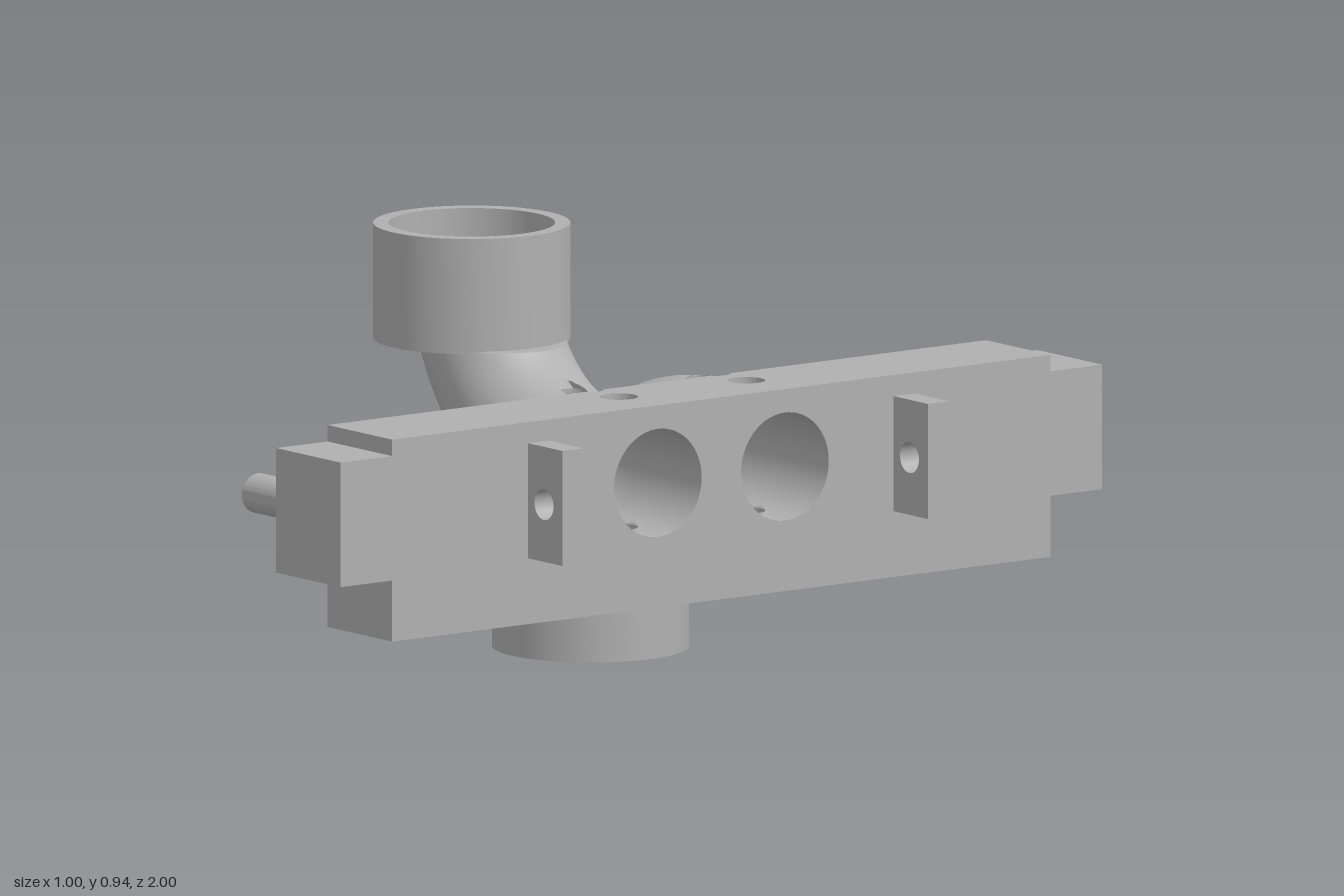
import * as THREE from 'three';
import { toCreasedNormals } from 'three/addons/utils/BufferGeometryUtils.js';

const grey = new THREE.MeshStandardMaterial({ color: 0xb0b0b0, side: THREE.DoubleSide });
grey.name = 'plain grey';

const AXIS_Y = 0.475, PIPE_Z = 0.167, BORE = 0.115, OUTER = 0.15, BEND = 0.39;
const X0 = 0.155, X1 = 0.38, Y0 = 0.21, Y1 = 0.64, Z1 = 0.865;
const NOTCH_X = 0.14, NOTCH_R = 0.03, NOTCH_HALF = 0.026;

function add(parent, name, geometry, x = 0, y = 0, z = 0) {
  const mesh = new THREE.Mesh(geometry, grey);
  mesh.name = name;
  mesh.position.set(x, y, z);
  parent.add(mesh);
  return mesh;
}

// Tubular surface from a rule f(u, v), closed in v, with vertical round holes [x, z, radius]
function tubeSurface(f, nu, nv, holes = [], flip = false) {
  const pos = [], index = [];
  for (let i = 0; i <= nu; i++) for (let j = 0; j < nv; j++) {
    const p = f(i / nu, (j / nv) * Math.PI * 2);
    for (const [hx, hz, r] of holes) {
      const dx = p[0] - hx, dz = p[2] - hz, d = Math.hypot(dx, dz);
      if (Math.abs(d - r) < 0.006) { p[0] = hx + dx * r / d; p[2] = hz + dz * r / d; }
    }
    pos.push(...p);
  }
  const tri = (a, b, c) => {
    const mid = k => (pos[a * 3 + k] + pos[b * 3 + k] + pos[c * 3 + k]) / 3;
    if (holes.some(([x, z, r]) => Math.hypot(mid(0) - x, mid(2) - z) < r)) return;
    if (flip) index.push(a, c, b); else index.push(a, b, c);
  };
  for (let i = 0; i < nu; i++) for (let j = 0; j < nv; j++) {
    const k = (j + 1) % nv, a = i * nv + j, b = i * nv + k;
    tri(a, a + nv, b);
    tri(b, a + nv, b + nv);
  }
  const g = new THREE.BufferGeometry();
  g.setAttribute('position', new THREE.Float32BufferAttribute(pos, 3));
  g.setIndex(index);
  g.computeVertexNormals();
  return g;
}

const openCylinder = (r, h, start = 0, length = Math.PI * 2) =>
  new THREE.CylinderGeometry(r, r, h, 32, 1, true, start, length);
const lathe = points => toCreasedNormals(
  new THREE.LatheGeometry(points.map(p => new THREE.Vector2(...p)), 64), 0.6);
const circle = (x, y, r) => new THREE.Path().absarc(x, y, r, 0, Math.PI * 2);
const polygon = points => new THREE.Shape(points.map(p => new THREE.Vector2(...p)));
const sideFace = shape => new THREE.ShapeGeometry(shape, 48).rotateY(-Math.PI / 2);

function createBlock() {
  const block = new THREE.Group();
  block.name = 'block';

  // Outer face with the two bores
  const front = polygon([[-Z1, Y0], [Z1, Y0], [Z1, Y1], [-Z1, Y1]]);
  front.holes.push(circle(PIPE_Z, AXIS_Y, BORE), circle(-PIPE_Z, AXIS_Y, BORE));
  add(block, 'outerFace', sideFace(front), X1);

  // Pipe-side face, in three pieces between the notches
  const a = Math.acos(NOTCH_HALF / BORE), inner = PIPE_Z - NOTCH_HALF, outer = PIPE_Z + NOTCH_HALF;
  const middle = new THREE.Shape();
  middle.moveTo(-inner, Y0);
  middle.lineTo(inner, Y0);
  middle.absarc(PIPE_Z, AXIS_Y, BORE, Math.PI + a, Math.PI - a, true);
  middle.lineTo(inner, Y1);
  middle.lineTo(-inner, Y1);
  middle.absarc(-PIPE_Z, AXIS_Y, BORE, a, -a, true);
  add(block, 'innerFaceMiddle', sideFace(middle), X0);
  const wing = new THREE.Shape();
  wing.moveTo(outer, Y0);
  wing.lineTo(Z1, Y0);
  wing.lineTo(Z1, Y1);
  wing.lineTo(outer, Y1);
  wing.absarc(PIPE_Z, AXIS_Y, BORE, a, -a, true);
  wing.holes.push(polygon([[0.32, 0.28], [0.72, 0.28], [0.72, 0.57], [0.32, 0.57]]));

  // Top and bottom with bolt holes and notches
  const lid = new THREE.Shape();
  lid.moveTo(X0, -Z1);
  lid.lineTo(X1, -Z1);
  lid.lineTo(X1, Z1);
  lid.lineTo(X0, Z1);
  for (const z of [PIPE_Z, -PIPE_Z]) {
    lid.absarc(NOTCH_X, z, NOTCH_R, Math.PI / 3, -Math.PI / 3, true);
    lid.holes.push(circle(0.245, z, 0.04));
  }
  for (const y of [Y0, Y1])
    add(block, y === Y1 ? 'topFace' : 'bottomFace',
      new THREE.ShapeGeometry(lid, 24).rotateX(Math.PI / 2), 0, y);

  // Pocket: a box with its open side removed
  const pocket = new THREE.BoxGeometry(0.175, 0.29, 0.4);
  const ids = Array.from(pocket.index.array);
  pocket.clearGroups();
  pocket.setIndex([...ids.slice(0, 6), ...ids.slice(12)]);

  for (const s of [1, -1]) {
    const z = s * PIPE_Z;
    add(block, 'innerFaceWing', sideFace(wing), X0).scale.z = s;
    add(block, 'pocket', pocket, X0 + 0.0875, 0.425, s * 0.52);
    add(block, 'pocketBoss', new THREE.CylinderGeometry(0.085, 0.085, 0.174, 40).rotateZ(Math.PI / 2),
      X0 + 0.087, 0.472, s * 0.38);
    add(block, 'shoulder', new THREE.PlaneGeometry(X1 - X0, Y1 - Y0).rotateY(s > 0 ? 0 : Math.PI),
      (X0 + X1) / 2, (Y0 + Y1) / 2, s * Z1);
    add(block, 'endBlock', new THREE.BoxGeometry(X1 - X0, 0.265, 0.135), (X0 + X1) / 2, 0.4725, s * 0.9325);
    const bore = (u, v) => [X0 + u * (X1 - X0), AXIS_Y + BORE * Math.cos(v), z + BORE * Math.sin(v)];
    add(block, 'bore', tubeSurface(bore, 28, 80, [[0.245, z, 0.04], [NOTCH_X, z, NOTCH_R]], true));
    for (const [lo, hi] of [[Y0, 0.363], [0.587, Y1]]) {
      add(block, 'boltHole', openCylinder(0.04, hi - lo), 0.245, (lo + hi) / 2, z);
      add(block, 'notch', openCylinder(NOTCH_R, hi - lo, Math.PI / 6, Math.PI * 2 / 3), NOTCH_X, (lo + hi) / 2, z);
    }
  }
  return block;
}

// Hollow elbow bending up (dir 1) or down (dir -1), cut level where it meets its socket
function createElbow(dir, z, bendX, cut, socketX, socketY) {
  const elbow = new THREE.Group();
  elbow.name = dir > 0 ? 'upperPipe' : 'lowerPipe';
  const straight = bendX < X0 ? 0.1 : 0;
  const wall = radius => (u, v) => {
    const r = BEND + radius * Math.cos(v);
    const t = u < straight ? 0 : (u - straight) / (1 - straight) * Math.acos(cut / r);
    const x = u < straight ? X0 + (bendX - X0) * u / straight : bendX - r * Math.sin(t);
    return [x, AXIS_Y + dir * (BEND - r * Math.cos(t)), z + radius * Math.sin(v)];
  };
  const outside = wall(OUTER), inside = wall(BORE), hole = [[0.085, z, 0.03]];
  add(elbow, 'pipeOutside', tubeSurface(outside, 60, 96, hole, dir > 0));
  add(elbow, 'pipeInside', tubeSurface(inside, 60, 96, hole, dir < 0));
  for (const end of [0, 1])
    add(elbow, 'pipeRim', tubeSurface((u, v) => {
      const p = outside(end, v), q = inside(end, v);
      return p.map((c, k) => c + (q[k] - c) * u);
    }, 1, 96, [], (dir > 0) === (end === 1)));
  for (const s of [1, -1])
    add(elbow, 'pipeHole', openCylinder(0.03, 0.036), 0.085, AXIS_Y + s * 0.13 + (dir > 0 ? 0.007 : 0), z);

  // Socket with an inner ledge
  const socket = add(elbow, 'socket', lathe([[0.142, 0], [0.207, 0], [0.207, 0.245], [0.175, 0.245],
    [0.175, 0.03], [0.142, 0.03], [0.142, 0]]), socketX, socketY, z);
  if (dir < 0) socket.rotation.x = Math.PI;
  return elbow;
}

export function createModel() {
  const model = new THREE.Group();
  model.name = 'pipeManifold';
  model.add(createBlock());
  model.add(createElbow(1, PIPE_Z, X0, 0.165, -0.268, 0.695));
  model.add(createElbow(-1, -PIPE_Z, 0.095, 0.155, -0.297, 0.245));

  // Pins with a drilled tip
  const pin = lathe([[0, 0], [0.042, 0], [0.042, 0.196], [0.016, 0.196], [0.016, 0.1], [0, 0.1]]);
  // Lugs with a cross hole
  const lug = polygon([[X1, 0.35], [0.5, 0.35], [0.5, 0.595], [X1, 0.595]]);
  lug.holes.push(circle(0.435, 0.472, 0.033));
  const lugGeometry = new THREE.ExtrudeGeometry(lug, { depth: 0.055, bevelEnabled: false, curveSegments: 32 });
  for (const s of [1, -1]) {
    for (const z of [0.38, 0.9]) add(model, 'pin', pin, X0, 0.472, s * z).rotation.z = Math.PI / 2;
    add(model, 'lug', lugGeometry, 0, 0, s * 0.48 - 0.0275);
  }
  return model;
}
